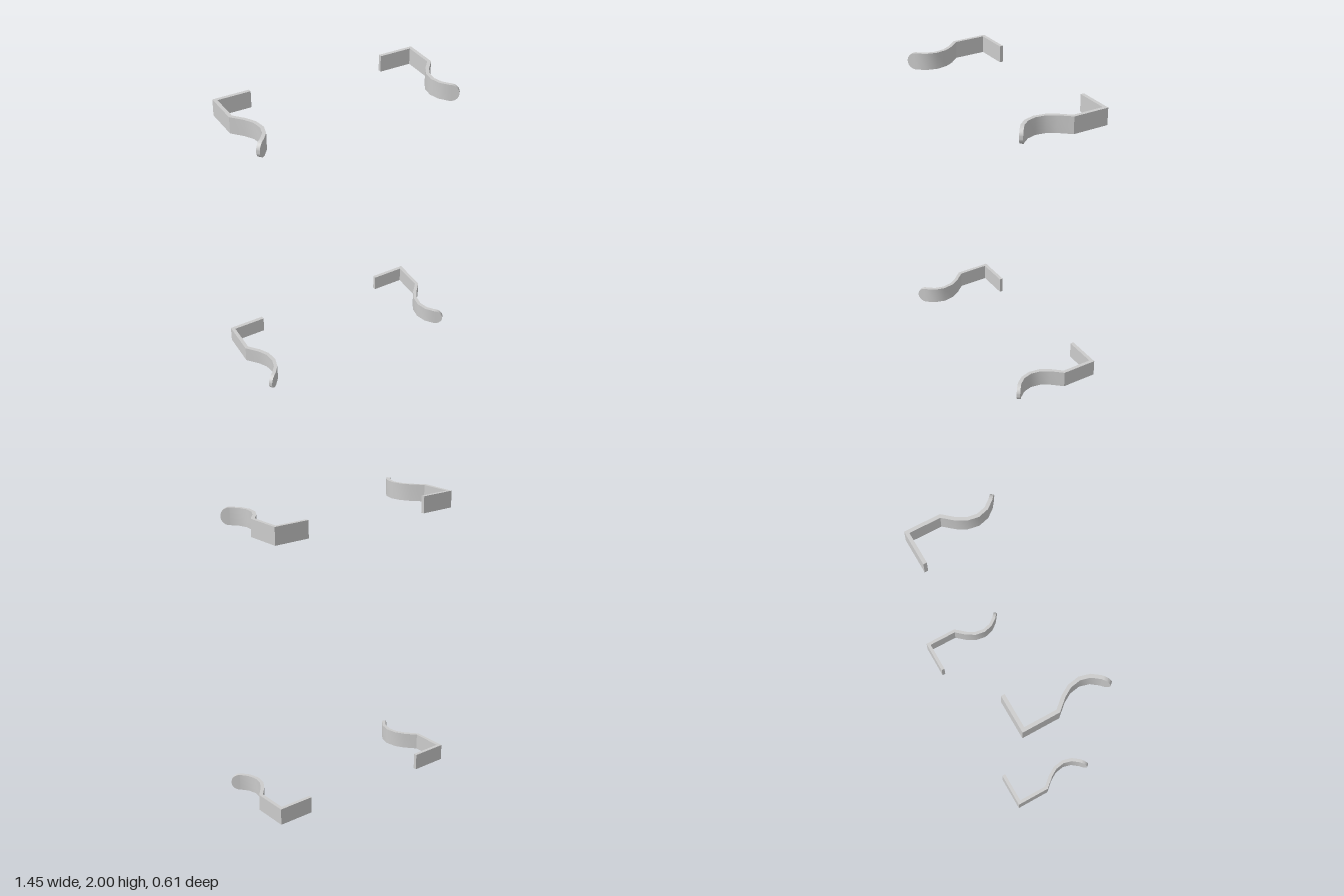
import * as THREE from 'three';
import { toCreasedNormals } from 'three/addons/utils/BufferGeometryUtils.js';

const HALF_HEIGHT = 0.057, HALF_THICK = 0.012;

// Centre line of the bent strip as [x, z]: mounting tab, side arm, curved spring
const PATH = [
  [0.475, -0.293], [0.713, -0.293], [0.713, -0.065], [0.65, 0.007], [0.615, 0.067],
  [0.603, 0.139], [0.621, 0.205], [0.66, 0.256], [0.708, 0.296],
];

// Strip swept along the path with mitred bends and a half-round tip
function clipGeometry() {
  const points = PATH.map(([x, z]) => new THREE.Vector2(x, z));
  const tip = points.pop();
  const tipDir = tip.clone().sub(points[points.length - 1]).normalize();
  const sections = points.map((p) => ({ p, h: HALF_HEIGHT }));
  const steps = 10;
  for (let i = 0; i <= steps; i++) {
    const a = (i / steps) * Math.PI / 2;
    const p = tip.clone().addScaledVector(tipDir, HALF_HEIGHT * (Math.sin(a) - 1));
    sections.push({ p, h: i === steps ? 0 : HALF_HEIGHT * Math.cos(a) });
  }

  const positions = [], index = [0, 3, 2, 0, 2, 1]; // starts with the tab's end cap
  const last = sections.length - 1;
  const normalOf = (i) => {
    const d = sections[i + 1].p.clone().sub(sections[i].p).normalize();
    return new THREE.Vector2(d.y, -d.x);
  };
  sections.forEach(({ p, h }, i) => {
    const before = normalOf(Math.max(i - 1, 0));
    const after = normalOf(Math.min(i, last - 1));
    const n = before.clone().add(after).normalize();
    n.multiplyScalar(HALF_THICK / n.dot(after));
    for (const [side, up] of [[1, 1], [-1, 1], [-1, -1], [1, -1]]) {
      positions.push(p.x + side * n.x, up * h, p.y + side * n.y);
    }
    if (i === last) return;
    for (let k = 0; k < 4; k++) {
      if (i === last - 1 && k % 2 === 1) {
        // sides keep their full quad; the tip ring closes to a line
      }
      const a = i * 4 + k, b = i * 4 + (k + 1) % 4;
      index.push(a, b, b + 4, a, b + 4, a + 4);
    }
  });
  const geometry = new THREE.BufferGeometry();
  geometry.setAttribute('position', new THREE.Float32BufferAttribute(positions, 3));
  geometry.setIndex(index);
  return toCreasedNormals(geometry, 0.55);
}

export function createModel() {
  const model = new THREE.Group();
  model.name = 'springClips';
  const geometry = clipGeometry();
  const material = new THREE.MeshStandardMaterial({ color: 0xcccccc });

  // Upper and lower pair; the right clip is the left one turned over
  for (const [level, y] of [['lower', HALF_HEIGHT], ['upper', 2 - HALF_HEIGHT]]) {
    for (const [side, turn] of [['Left', 0], ['Right', Math.PI]]) {
      const clip = new THREE.Mesh(geometry, material);
      clip.name = `${level}${side}Clip`;
      clip.position.y = y;
      clip.rotation.z = turn;
      model.add(clip);
    }
  }
  return model;
}
